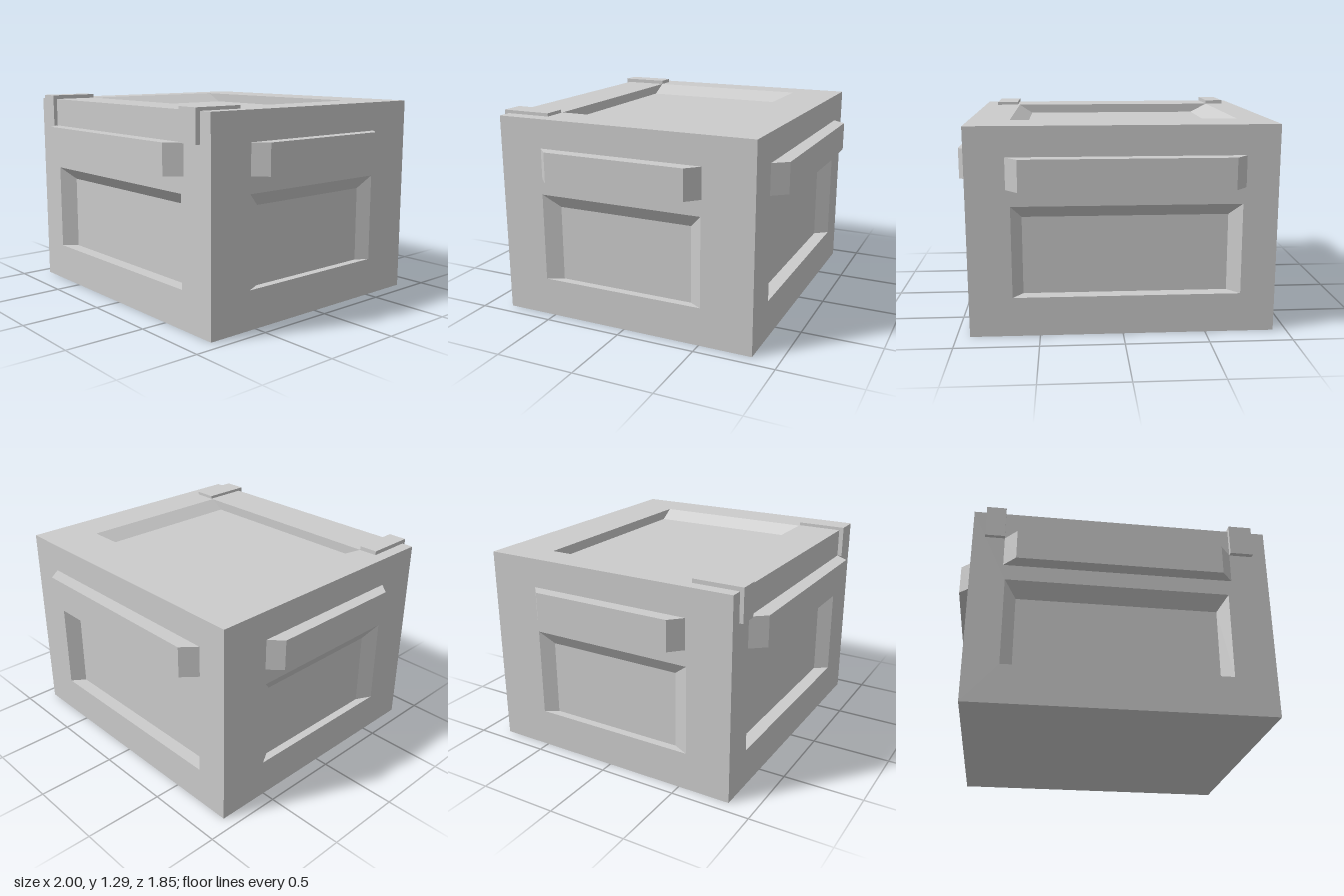
import * as THREE from 'three';

const W = 0.92, D = 0.835, H = 1.265; // half width, half depth, height

const material = new THREE.MeshStandardMaterial({ color: 0xcccccc, flatShading: true });

// Corners of a rectangle [x0, x1, y0, y1] at height z, counter-clockwise
const ring = ([x0, x1, y0, y1], z) => [[x0, y0, z], [x1, y0, z], [x1, y1, z], [x0, y1, z]];

// A flat wall facing +z with a recessed panel: outer edge, opening, panel floor
function recessedWall(outer, opening, floor, depth) {
  const rings = [ring(outer, 0), ring(opening, 0), ring(floor, -depth)];
  const pos = [];
  const quad = (a, b, c, d) => pos.push(...a, ...b, ...c, ...a, ...c, ...d);
  for (let r = 0; r < 2; r++) {
    for (let i = 0; i < 4; i++) {
      const j = (i + 1) % 4;
      quad(rings[r][i], rings[r][j], rings[r + 1][j], rings[r + 1][i]);
    }
  }
  quad(...rings[2]);
  const geo = new THREE.BufferGeometry();
  geo.setAttribute('position', new THREE.Float32BufferAttribute(pos, 3));
  geo.computeVertexNormals();
  return geo;
}

// A bar with slanted ends, standing out along +z
function barGeometry(x0, x1, out, y0, y1) {
  const taper = 0.075;
  const shape = new THREE.Shape();
  shape.moveTo(x0, 0.02);
  shape.lineTo(x0, 0);
  shape.lineTo(x0 + taper, -out);
  shape.lineTo(x1 - taper, -out);
  shape.lineTo(x1, 0);
  shape.lineTo(x1, 0.02);
  const geo = new THREE.ExtrudeGeometry(shape, { depth: y1 - y0, bevelEnabled: false });
  geo.rotateX(-Math.PI / 2);
  geo.translate(0, y0, 0);
  return geo;
}

function mesh(name, geo) {
  const m = new THREE.Mesh(geo, material);
  m.name = name;
  return m;
}

export function createModel() {
  const model = new THREE.Group();
  model.name = 'crate';

  // Four sides, each a wall with a panel and a handle bar
  const sides = [
    { name: 'front', turn: 0, half: W, dist: D, open: [-0.71, 0.66], floor: [-0.64, 0.6], depth: 0.085, bar: [-0.725, 0.685], out: 0.09 },
    { name: 'back', turn: Math.PI, half: W, dist: D, open: [-0.66, 0.71], floor: [-0.6, 0.64], depth: 0.085, bar: [-0.685, 0.725], out: 0.09 },
    { name: 'left', turn: Math.PI / 2, half: D, dist: W, open: [-0.55, 0.51], floor: [-0.45, 0.43], depth: 0.05, bar: [-0.545, 0.515], out: 0.08 },
    { name: 'right', turn: -Math.PI / 2, half: D, dist: W, open: [-0.51, 0.55], floor: [-0.43, 0.45], depth: 0.05, bar: [-0.515, 0.545], out: 0.08 },
  ];
  for (const s of sides) {
    const side = new THREE.Group();
    side.name = s.name + 'Side';
    side.add(
      mesh(s.name + 'Wall', recessedWall([-s.half, s.half, 0, H], [...s.open, 0.24, 0.795], [...s.floor, 0.24, 0.715], s.depth)),
      mesh(s.name + 'Handle', barGeometry(...s.bar, s.out, 0.895, 1.085)),
    );
    side.rotation.y = s.turn;
    side.position.set(Math.sin(s.turn) * s.dist, 0, Math.cos(s.turn) * s.dist);
    model.add(side);
  }

  // Lid with a shallow recess: upright front and back walls, sloping ends
  const lid = mesh('lid', recessedWall([-W, W, -D, D], [-0.725, 0.67, -0.545, 0.52], [-0.61, 0.58, -0.545, 0.52], 0.06));
  lid.rotation.x = -Math.PI / 2;
  lid.position.y = H;
  model.add(lid);

  // Flat underside
  const base = mesh('base', new THREE.PlaneGeometry(2 * W, 2 * D));
  base.rotation.x = Math.PI / 2;
  model.add(base);

  // Two clips wrapping the front edge of the lid
  for (const [name, x0, x1, top, front] of [['rightClip', -0.845, -0.725, 1.29, 0.86], ['leftClip', 0.685, 0.83, 1.285, 0.865]]) {
    const clip = mesh(name, new THREE.BoxGeometry(x1 - x0, top - 1.085, front - 0.545));
    clip.position.set((x0 + x1) / 2, (top + 1.085) / 2, (front + 0.545) / 2);
    model.add(clip);
  }
  return model;
}
